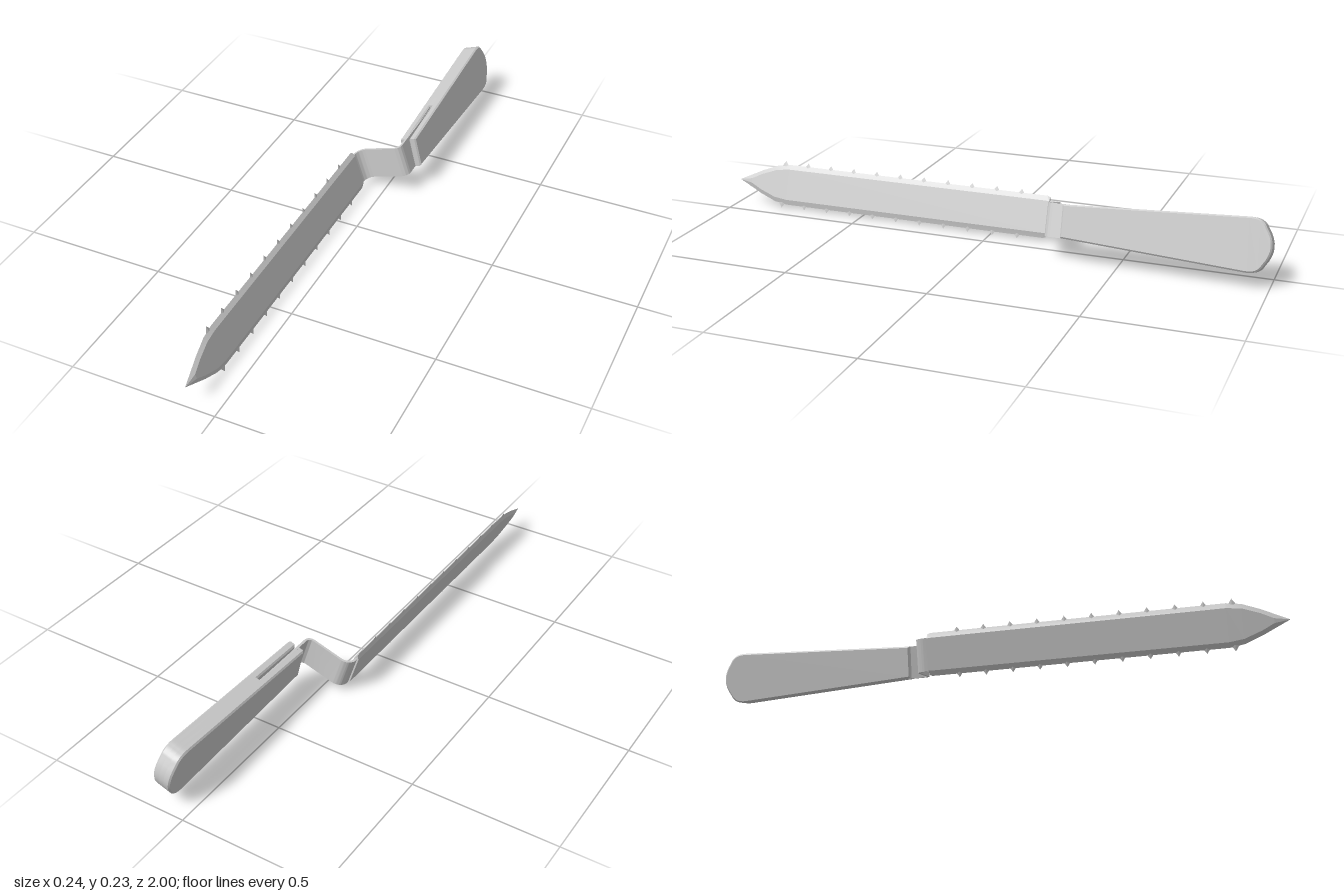
import * as THREE from 'three';
import { toCreasedNormals } from 'three/addons/utils/BufferGeometryUtils.js';

const material = new THREE.MeshStandardMaterial({ color: 0xcccccc });

function part(name, geometry, crease = 0.5) {
  const mesh = new THREE.Mesh(toCreasedNormals(geometry, crease), material);
  mesh.name = name;
  return mesh;
}

// Hexagonal cross-sections lofted along z, tapering to the point
function bladeGeometry() {
  const T = 0.008;
  const stations = [ // z, half height, half height of the flat, half thickness
    [-0.205, 0.069, 0.055, T], [-0.195, 0.0735, 0.056, T], [0.8, 0.0735, 0.056, T],
    [0.85, 0.066, 0.05, T], [0.91, 0.043, 0.028, T], [0.95, 0.024, 0.008, T], [1, 0.0006, 0.0003, 0.0004],
  ];
  const pos = [], idx = [], n = 6;
  for (const [z, h, f, t] of stations) {
    pos.push(0, h, z, -t, f, z, -t, -f, z, 0, -h, z, t, -f, z, t, f, z);
  }
  for (let s = 0; s < stations.length - 1; s++) {
    for (let i = 0; i < n; i++) {
      const a = s * n + i, b = s * n + (i + 1) % n;
      idx.push(a, b, b + n, a, b + n, a + n);
    }
  }
  const last = (stations.length - 1) * n;
  for (let i = 1; i < n - 1; i++) {
    idx.push(0, i + 1, i, last, last + i, last + i + 1);
  }
  const g = new THREE.BufferGeometry();
  g.setAttribute('position', new THREE.Float32BufferAttribute(pos, 3));
  g.setIndex(idx);
  return g;
}

// Bent strip: blade neck, sideways step, then the tang inside the handle
function strapGeometry() {
  const h = 0.004, zb = -0.248, U = 0.166, R1 = 0.035, R2 = 0.022, end = -0.55, width = 0.114;
  const s = new THREE.Shape();
  s.moveTo(-h, -0.17);
  s.absarc(R1, zb + R1, R1 + h, Math.PI, 1.5 * Math.PI, false);
  s.absarc(U - R2, zb - R2, R2 - h, Math.PI / 2, 0, true);
  s.lineTo(U - h, end);
  s.lineTo(U + h, end);
  s.absarc(U - R2, zb - R2, R2 + h, 0, Math.PI / 2, false);
  s.absarc(R1, zb + R1, R1 - h, 1.5 * Math.PI, Math.PI, true);
  s.lineTo(h, -0.17);
  const g = new THREE.ExtrudeGeometry(s, { depth: width, bevelEnabled: false, curveSegments: 10 });
  return g.translate(0, 0, -width / 2).rotateX(Math.PI / 2);
}

// Tapered grip outline with a rounded butt, starting at distance a
function gripShape(a) {
  const half = (d) => 0.056 + (d - 0.31) * 0.054;
  const s = new THREE.Shape();
  s.moveTo(a, -half(a));
  s.lineTo(0.92, -half(0.92));
  s.quadraticCurveTo(0.965, -half(0.965), 0.978, -0.06);
  s.quadraticCurveTo(1.022, 0, 0.978, 0.06);
  s.quadraticCurveTo(0.965, half(0.965), 0.92, half(0.92));
  s.lineTo(a, half(a));
  s.closePath();
  return s;
}

// Slab of the grip between two sideways offsets, slightly skewed
function gripGeometry(start, from, to, bevel) {
  const g = new THREE.ExtrudeGeometry(gripShape(start), {
    depth: to - from - 2 * bevel, curveSegments: 8, bevelEnabled: bevel > 0,
    bevelThickness: bevel, bevelSize: bevel, bevelOffset: -bevel, bevelSegments: 1,
  });
  g.translate(0, 0, from + bevel);
  return g.applyMatrix4(new THREE.Matrix4().set(
    0, 0.078, 1, 0,
    0, 1, 0.03, 0,
    -1, 0, 0, 0,
    0, 0, 0, 1));
}

export function createModel() {
  const model = new THREE.Group();
  model.name = 'offsetKnife';

  // Everything is built upright, then leaned sideways
  const knife = new THREE.Group();
  knife.name = 'knife';
  knife.position.set(-0.093, 0.083, 0);
  knife.rotation.z = THREE.MathUtils.degToRad(18);
  model.add(knife);

  knife.add(part('blade', bladeGeometry(), 0.15));
  knife.add(part('neckAndTang', strapGeometry()));

  // Teeth along both edges
  const teeth = new THREE.Group();
  teeth.name = 'teeth';
  const tooth = new THREE.ConeGeometry(0.014, 0.02, 4).scale(0.2, 1, 1);
  for (let i = 0; i < 11; i++) {
    for (const side of [1, -1]) {
      const mesh = part('tooth', tooth, 0.1);
      mesh.position.set(0, side * 0.0765, 0.82 - i * 0.092);
      if (side < 0) mesh.rotation.z = Math.PI;
      teeth.add(mesh);
    }
  }
  knife.add(teeth);

  // Two scales around a shorter core, leaving an open slot for the tang
  const handle = new THREE.Group();
  handle.name = 'handle';
  handle.position.x = 0.168;
  handle.add(part('scaleLeft', gripGeometry(0.31, 0.004, 0.031, 0.005)));
  handle.add(part('scaleRight', gripGeometry(0.31, -0.031, -0.004, 0.005)));
  handle.add(part('core', gripGeometry(0.53, -0.009, 0.009, 0)));
  knife.add(handle);

  return model;
}
